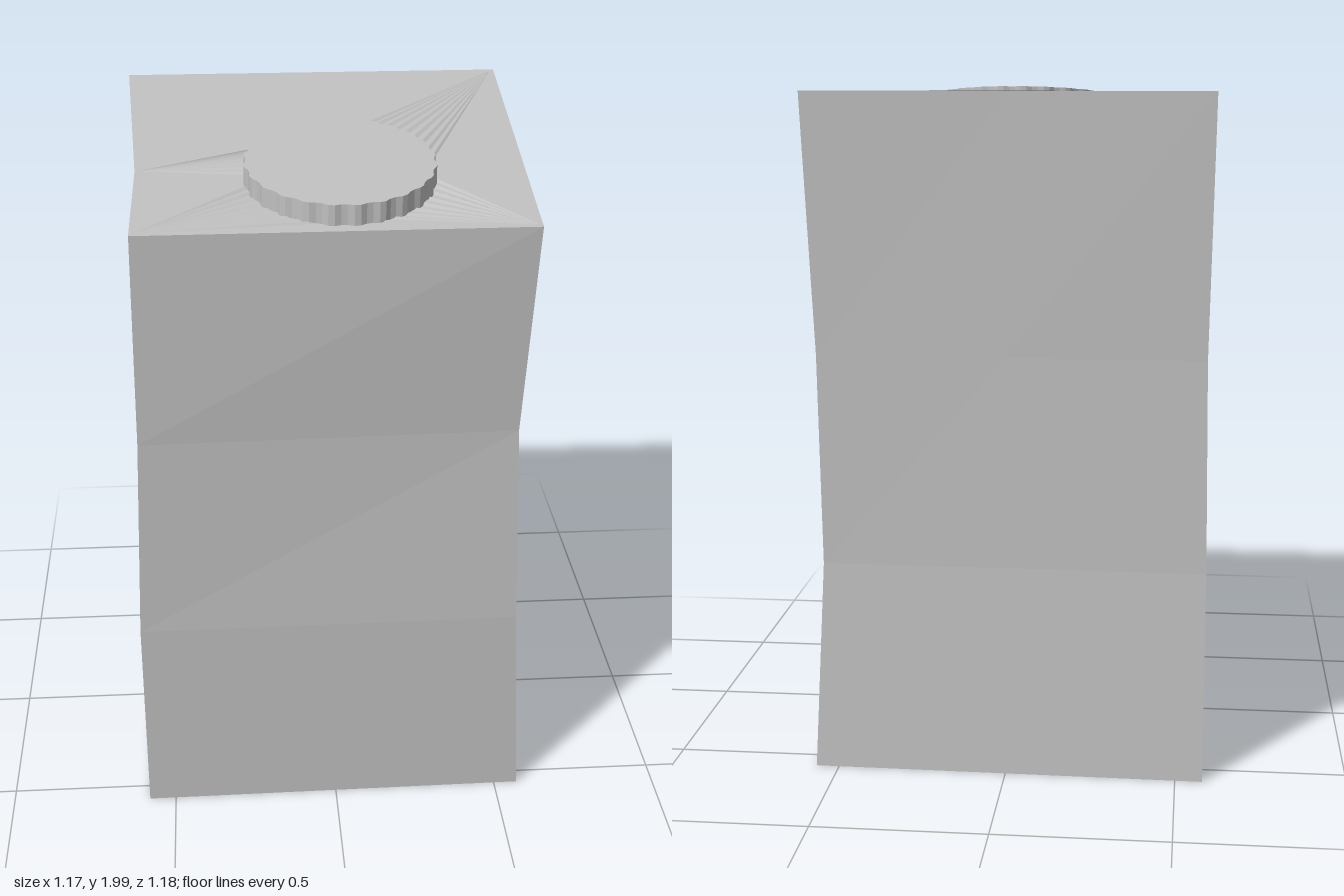
import * as THREE from 'three';

// Height of the sloping lid at depth z
const lidY = z => 1.929 - 0.109 * z;

function meshFrom(name, positions, index, material) {
  const indexed = new THREE.BufferGeometry();
  indexed.setAttribute('position', new THREE.Float32BufferAttribute(positions, 3));
  indexed.setIndex(index);
  const geometry = indexed.toNonIndexed(); // separate faces keep every crease sharp
  geometry.computeVertexNormals();
  const mesh = new THREE.Mesh(geometry, material);
  mesh.name = name;
  return mesh;
}

// Carton: slightly warped six-point rings, from the base to the sloping lid.
// Order: front right, front left, back left, back middle, back right, right middle.
function makeCarton(material) {
  const levels = [
    { y: 0, ring: [[-0.58, 0.565], [0.572, 0.555], [0.568, -0.58], [0, -0.585], [-0.58, -0.59], [-0.58, 0.18]] },
    { y: 0.62, ring: [[-0.582, 0.573], [0.54, 0.565], [0.54, -0.545], [0, -0.547], [-0.58, -0.556], [-0.575, 0.18]] },
    { y: 1.24, ring: [[-0.562, 0.577], [0.52, 0.552], [0.55, -0.54], [0, -0.54], [-0.572, -0.545], [-0.56, 0.18]] },
    { y: null, ring: [[-0.557, 0.588], [0.55, 0.588], [0.582, -0.55], [0, -0.543], [-0.585, -0.556], [-0.55, 0.18]] },
  ];
  const positions = [], index = [], n = 6;
  for (const { y, ring } of levels) {
    for (const [x, z] of ring) positions.push(x, y === null ? lidY(z) : y, z);
  }
  for (let l = 0; l < levels.length - 1; l++) {
    for (let i = 0; i < n; i++) {
      const j = (i + 1) % n, a = l * n, b = a + n;
      index.push(a + i, a + j, b + j, a + i, b + j, b + i);
    }
  }
  const top = (levels.length - 1) * n;
  for (let i = 1; i < n - 1; i++) {
    index.push(0, i + 1, i);
    // the lid fans out from its back left corner
    const p = (2 + i) % n, q = (3 + i) % n;
    index.push(top + 2, top + p, top + q);
  }
  return meshFrom('carton', positions, index, material);
}

const CAP = { x: 0.027, z: 0.267, rx: 0.268, rz: 0.292, height: 0.058 };

// Round cap with a ragged, knurled rim, sheared to lie along the lid
function makeCap(material) {
  const geometry = new THREE.CylinderGeometry(1, 1, CAP.height, 96, 1).toNonIndexed();
  const pos = geometry.attributes.position;
  for (let i = 0; i < pos.count; i++) {
    const x = pos.getX(i), z = pos.getZ(i);
    const step = Math.round(Math.atan2(z, x) / (Math.PI / 48) + 96) % 96;
    const ragged = 1 + (Math.floor(step / 2) % 2 ? 0.012 : -0.012);
    const wx = CAP.x + x * CAP.rx * ragged, wz = CAP.z + z * CAP.rz * ragged;
    pos.setXYZ(i, wx, lidY(wz) + pos.getY(i) + CAP.height / 2 + 0.002, wz);
  }
  geometry.computeVertexNormals();
  const mesh = new THREE.Mesh(geometry, material);
  mesh.name = 'cap';
  return mesh;
}

// Fine folds fanning from the lid corners to the rim of the cap
function makeFolds(material) {
  const fans = [
    { from: [0.57, -0.538], a: -1.55, b: -0.3 },
    { from: [-0.54, 0.18], a: -2.95, b: -2.0 },
    { from: [0.54, 0.575], a: 0.05, b: 1.2 },
    { from: [-0.545, 0.575], a: 1.95, b: 3.0 },
  ];
  const positions = [], index = [], count = 9;
  const rim = t => [CAP.x + Math.cos(t) * CAP.rx, CAP.z + Math.sin(t) * CAP.rz];
  for (const { from, a, b } of fans) {
    for (let k = 0; k < count; k++) {
      const t = a + (b - a) * k / (count - 1), w = (b - a) / count * 0.35;
      const start = positions.length / 3;
      [[from, 0.001], [rim(t - w), 0.001], [rim(t), 0.007], [rim(t + w), 0.001]]
        .forEach(([[x, z], lift]) => positions.push(x, lidY(z) + lift, z));
      index.push(start, start + 2, start + 1, start, start + 3, start + 2);
    }
  }
  return meshFrom('lidFolds', positions, index, material);
}

export function createModel() {
  const grey = new THREE.MeshStandardMaterial({ color: 0xc0c0c0, side: THREE.DoubleSide });
  grey.name = 'grey';
  const group = new THREE.Group();
  group.name = 'cappedCarton';
  group.add(makeCarton(grey), makeCap(grey), makeFolds(grey));
  return group;
}
